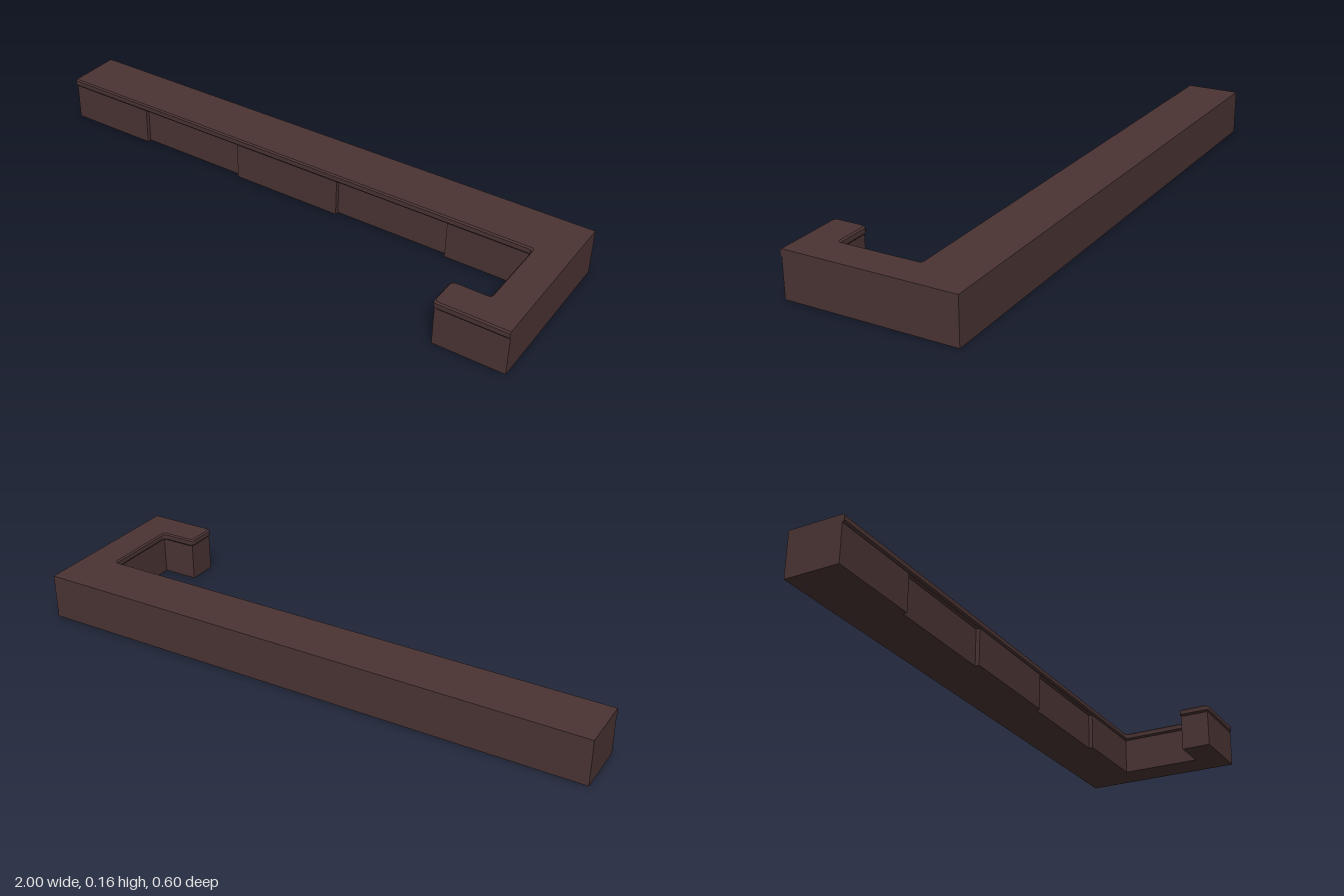
import * as THREE from 'three';

const BACK = -0.298, FRONT = 0.298, TOP = 0.16, LIP = 0.133;

const material = new THREE.MeshStandardMaterial({ color: 0x4a3333 });

// Plan outline of the top as [x, z], moved inwards by d on its moulded edges only
function topOutline(d) {
  const r = 0.015;
  const edge = [
    [-1, -0.1 - d], [0.88 + d, -0.1 - d], [0.88 + d, 0.18 + d],
    [0.75 + d, 0.18 + d], [0.75 + d, FRONT - d], [1, FRONT - d],
  ].map(([x, z]) => new THREE.Vector2(x, z));
  const points = [edge[0]];
  for (let i = 1; i < edge.length - 1; i++) {
    const a = edge[i].clone().add(edge[i - 1].clone().sub(edge[i]).setLength(r));
    const b = edge[i].clone().add(edge[i + 1].clone().sub(edge[i]).setLength(r));
    points.push(...new THREE.QuadraticBezierCurve(a, edge[i], b).getPoints(4));
  }
  points.push(edge[edge.length - 1], new THREE.Vector2(1, BACK), new THREE.Vector2(-1, BACK));
  return points;
}

// Sides of the top, lofted through outlines at successive heights
function loftSides(profile) {
  const rings = profile.map(([d, y]) => topOutline(d).map((p) => [p.x, y, p.y]));
  const positions = [];
  for (let k = 0; k < rings.length - 1; k++) {
    const low = rings[k], high = rings[k + 1], n = low.length;
    for (let i = 0; i < n; i++) {
      const j = (i + 1) % n;
      positions.push(...low[i], ...low[j], ...high[j], ...low[i], ...high[j], ...high[i]);
    }
  }
  const geometry = new THREE.BufferGeometry();
  geometry.setAttribute('position', new THREE.Float32BufferAttribute(positions, 3));
  geometry.computeVertexNormals();
  return geometry;
}

// Flat cap facing up (side = 1) or down (side = -1)
function cap(d, y, side) {
  const shape = new THREE.Shape(topOutline(d).map((p) => new THREE.Vector2(p.x, -side * p.y)));
  return new THREE.ShapeGeometry(shape).rotateX(-side * Math.PI / 2).translate(0, y, 0);
}

function createBody() {
  // Front panels alternate between proud and recessed
  const proud = -0.106, recessed = -0.121;
  const seams = [-1, -0.665, -0.25, 0.163, 0.582, 0.886];
  const plan = [];
  for (let i = 0; i < seams.length - 1; i++) {
    const z = i % 2 ? recessed : proud;
    plan.push([seams[i], z], [seams[i + 1], z]);
  }
  // Side arm and short return
  plan.push([0.886, 0.186], [0.756, 0.186], [0.756, 0.293], [1, 0.293], [1, BACK], [-1, BACK]);
  const shape = new THREE.Shape(plan.map(([x, z]) => new THREE.Vector2(x, z)));
  return new THREE.ExtrudeGeometry(shape, { depth: 0.142, bevelEnabled: false })
    .rotateX(Math.PI / 2).translate(0, 0.142, 0);
}

export function createModel() {
  const model = new THREE.Group();
  model.name = 'counter';
  const add = (parent, name, geometry) => {
    const mesh = new THREE.Mesh(geometry, material);
    mesh.name = name;
    parent.add(mesh);
  };

  add(model, 'counterBody', createBody());

  // Worktop with a softened moulding along the inner edges
  const worktop = new THREE.Group();
  worktop.name = 'worktop';
  const profile = [[0.005, LIP], [0, LIP + 0.006], [0, TOP - 0.005], [0.005, TOP]];
  add(worktop, 'worktopEdge', loftSides(profile));
  add(worktop, 'worktopSurface', cap(0.005, TOP, 1));
  add(worktop, 'worktopUnderside', cap(0.005, LIP, -1));
  model.add(worktop);

  return model;
}
